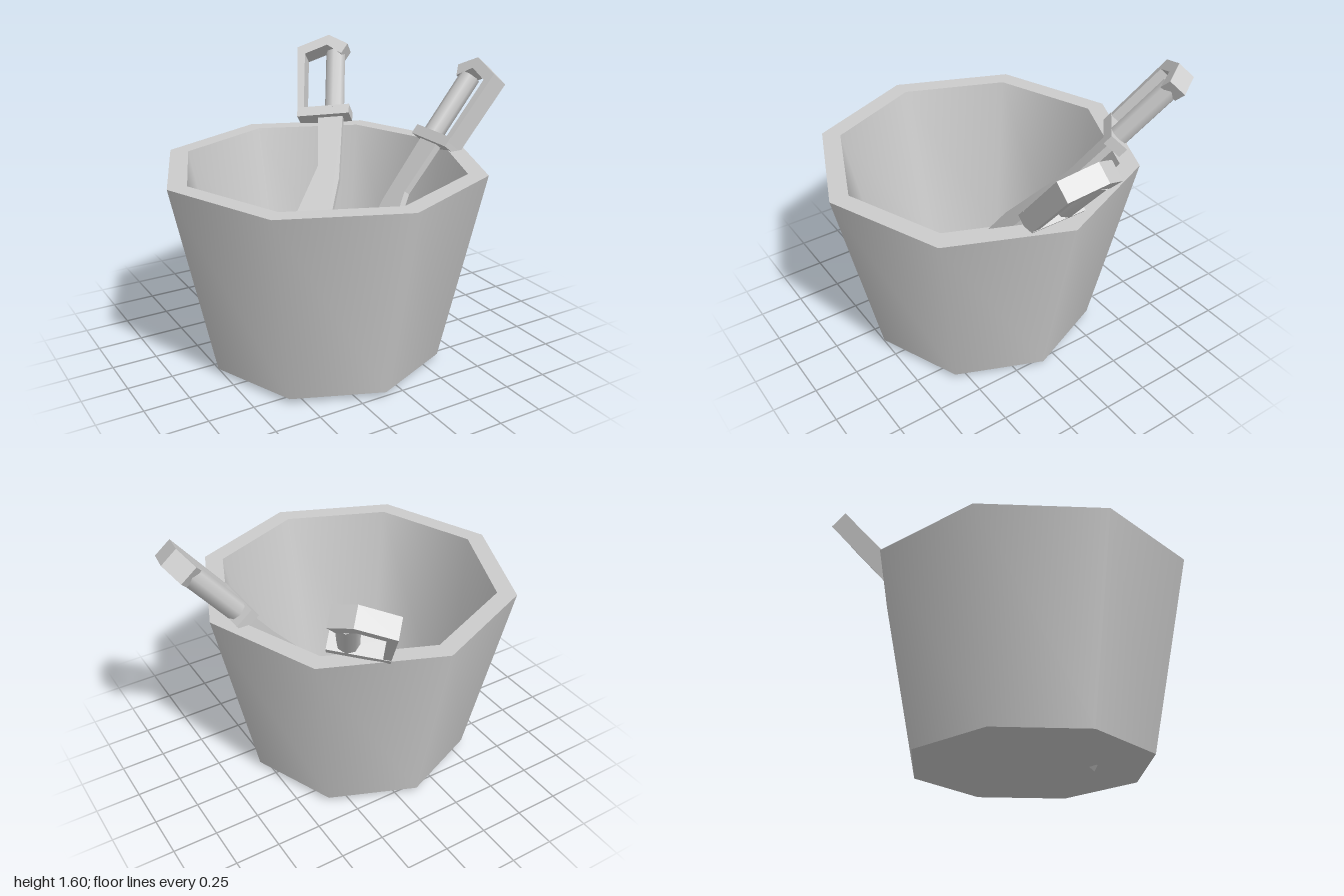
import * as THREE from 'three';

const material = new THREE.MeshStandardMaterial({ color: 0xcccccc });

function addMesh(parent, name, geometry) {
  const mesh = new THREE.Mesh(geometry, material);
  mesh.name = name;
  parent.add(mesh);
  return mesh;
}

// flat plate in the sword's plane, centred on its thickness
function plate(points, depth) {
  const shape = new THREE.Shape(points.map(([x, y]) => new THREE.Vector2(x, y)));
  return new THREE.ExtrudeGeometry(shape, { depth, bevelEnabled: false }).translate(0, 0, -depth / 2);
}

// eight-sided tapered bucket; each surface is its own lathe so rims stay sharp
function createBucket() {
  const bucket = new THREE.Group();
  bucket.name = 'bucket';
  const profile = [[0, 0.03], [0.66, 0.03], [0.887, 1.105], [0.78, 1.105], [0.575, 0.15], [0, 0.15]]
    .map(([r, y]) => new THREE.Vector2(r, y));
  ['bucketBase', 'bucketOuterWall', 'bucketRim', 'bucketInnerWall', 'bucketFloor'].forEach((name, i) => {
    addMesh(bucket, name, new THREE.LatheGeometry([profile[i], profile[i + 1]], 8));
  });
  bucket.position.set(-0.11, 0, 0.1);
  return bucket;
}

// sword: y runs from blade tip to pommel, x points to the knuckle guard side
function createSword(name, position, up, side) {
  const sword = new THREE.Group();
  sword.name = name;

  // curved blade, widening towards a slanted tip
  addMesh(sword, 'blade', plate([
    [-0.11, 0], [-0.095, -0.44], [-0.02, -0.86], [0.265, -1.435],
    [0.27, -0.92], [0.035, -0.35], [0.045, 0],
  ], 0.04));

  addMesh(sword, 'crossguard', new THREE.BoxGeometry(0.32, 0.06, 0.115)).position.x = 0.005;

  const grip = addMesh(sword, 'grip', new THREE.CylinderGeometry(0.06, 0.06, 0.4, 8));
  grip.position.set(-0.055, 0.22, 0);

  // knuckle bar, bent over the top of the grip
  addMesh(sword, 'knuckleGuard', plate([
    [0.125, 0], [0.165, 0], [0.18, 0.455], [-0.02, 0.525], [-0.01, 0.455], [0.13, 0.405],
  ], 0.11));

  // slanted block joining the bar to the grip
  addMesh(sword, 'pommel', plate([
    [-0.01, 0.455], [-0.02, 0.525], [-0.14, 0.45], [-0.1, 0.385],
  ], 0.11));

  const y = new THREE.Vector3(...up).normalize();
  const z = new THREE.Vector3(...side).cross(y).normalize();
  const x = new THREE.Vector3().crossVectors(y, z);
  sword.quaternion.setFromRotationMatrix(new THREE.Matrix4().makeBasis(x, y, z));
  sword.position.set(...position);
  return sword;
}

export function createModel() {
  const model = new THREE.Group();
  model.name = 'bucketOfSwords';
  model.add(
    createBucket(),
    createSword('leftSword', [0.62, 1.13, 0.13], [0.63, 0.78, 0], [0, 0, 1]),
    createSword('backSword', [0.28, 1.17, -0.55], [0.35, 0.75, -0.56], [-0.75, -0.1, -0.65]),
  );
  return model;
}
